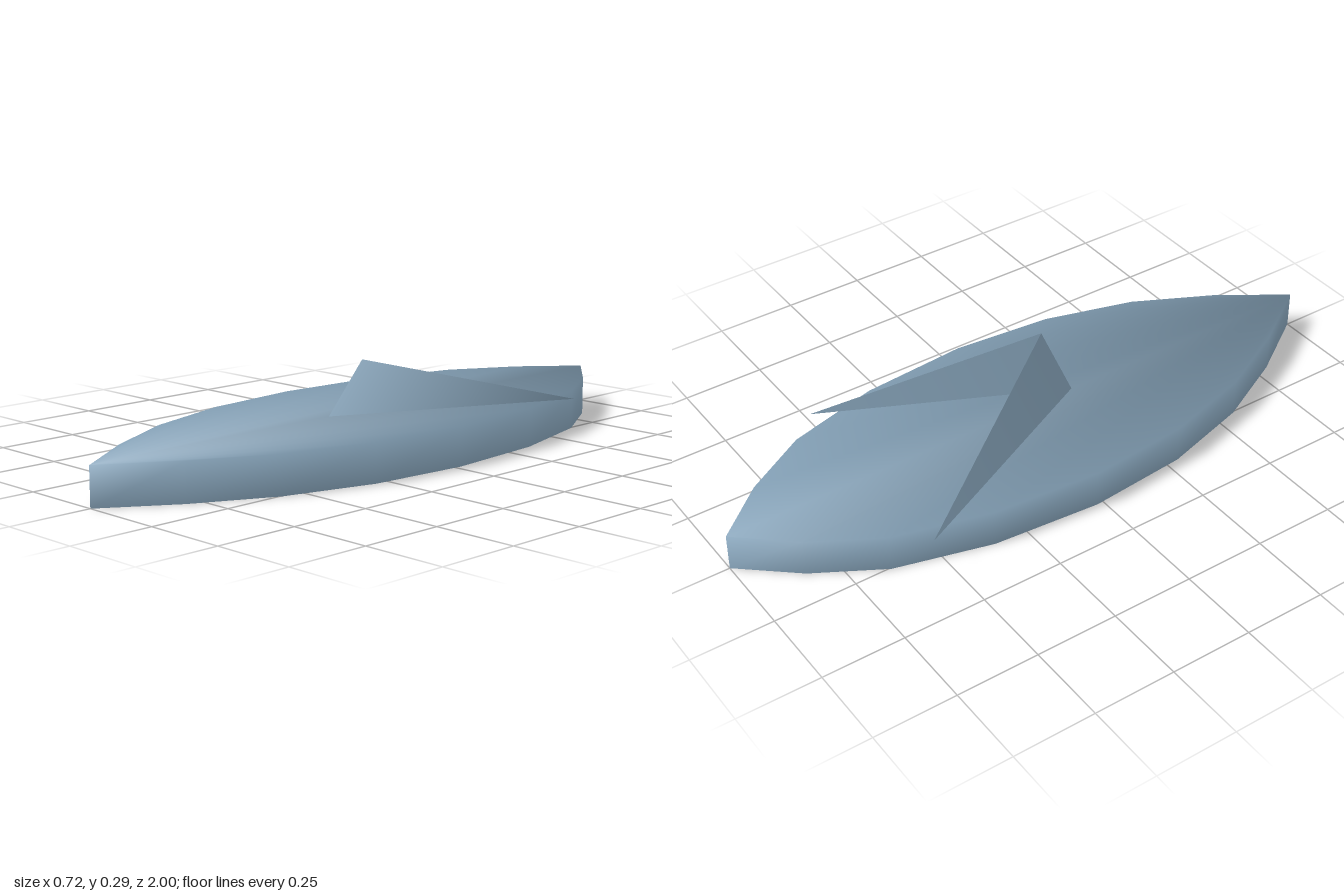
import * as THREE from 'three';

// Builds an indexed geometry from corner lists
function mesh(name, points, normals, index, material) {
  const g = new THREE.BufferGeometry();
  g.setAttribute('position', new THREE.Float32BufferAttribute(points.flat(), 3));
  g.setIndex(index);
  if (normals) g.setAttribute('normal', new THREE.Float32BufferAttribute(normals.flat(), 3));
  else g.computeVertexNormals();
  const m = new THREE.Mesh(g, material);
  m.name = name;
  return m;
}

export function createModel() {
  const model = new THREE.Group();
  const blue = new THREE.MeshStandardMaterial({ color: 0x86a3b9, side: THREE.DoubleSide });
  blue.name = 'greyBlue';

  // Lens outline, from the bow along the left side to the stern and back
  const H = 0.115, W = 0.36;
  const stations = [1, 0.795, 0.565, 0.29, -0.02, -0.35, -0.64, -0.84, -1];
  const N = 16;
  const outline = [];
  for (let i = 0; i < N; i++) {
    outline.push([W * Math.sin((i * Math.PI) / 8), stations[i <= 8 ? i : N - i]]);
  }
  const at = (i) => outline[(i + N) % N];
  const outward = (a, b, up) =>
    new THREE.Vector3(a[1] - b[1], up, b[0] - a[0]);

  // Hull: a shallow shell, deck and side wall shaded as one, open underneath
  const points = [], normals = [], index = [];
  for (let i = 0; i < N; i++) {
    const n = outward(at(i - 1), at(i + 1), 0).normalize();
    n.y = 0.8;
    points.push([at(i)[0], H, at(i)[1]]);
    normals.push(n.normalize().toArray());
  }
  // Lower rim, split at the bow
  for (let i = 0; i <= N; i++) {
    const n = outward(i === 0 ? at(0) : at(i - 1), i === N ? at(N) : at(i + 1), 0);
    points.push([at(i)[0], 0, at(i)[1]]);
    normals.push(n.normalize().toArray());
  }
  for (let i = 1; i < N - 1; i++) index.push(0, i, i + 1);
  for (let i = 0; i < N; i++) {
    const t0 = i, t1 = (i + 1) % N, b0 = N + i, b1 = b0 + 1;
    index.push(b0, b1, t1, b0, t1, t0);
  }
  model.add(mesh('hull', points, normals, index, blue));

  // Folded canopy: two thin triangles sharing a leaning front edge
  const wing = 0.335, back = -0.55;
  const corners = [
    [-wing, H, back],
    [0, H, 0.147],
    [wing, H, back],
    [0.085, 0.286, 0.097],
  ];
  model.add(mesh('foldedCanopy', corners, null, [0, 1, 3, 1, 2, 3], blue));

  return model;
}
